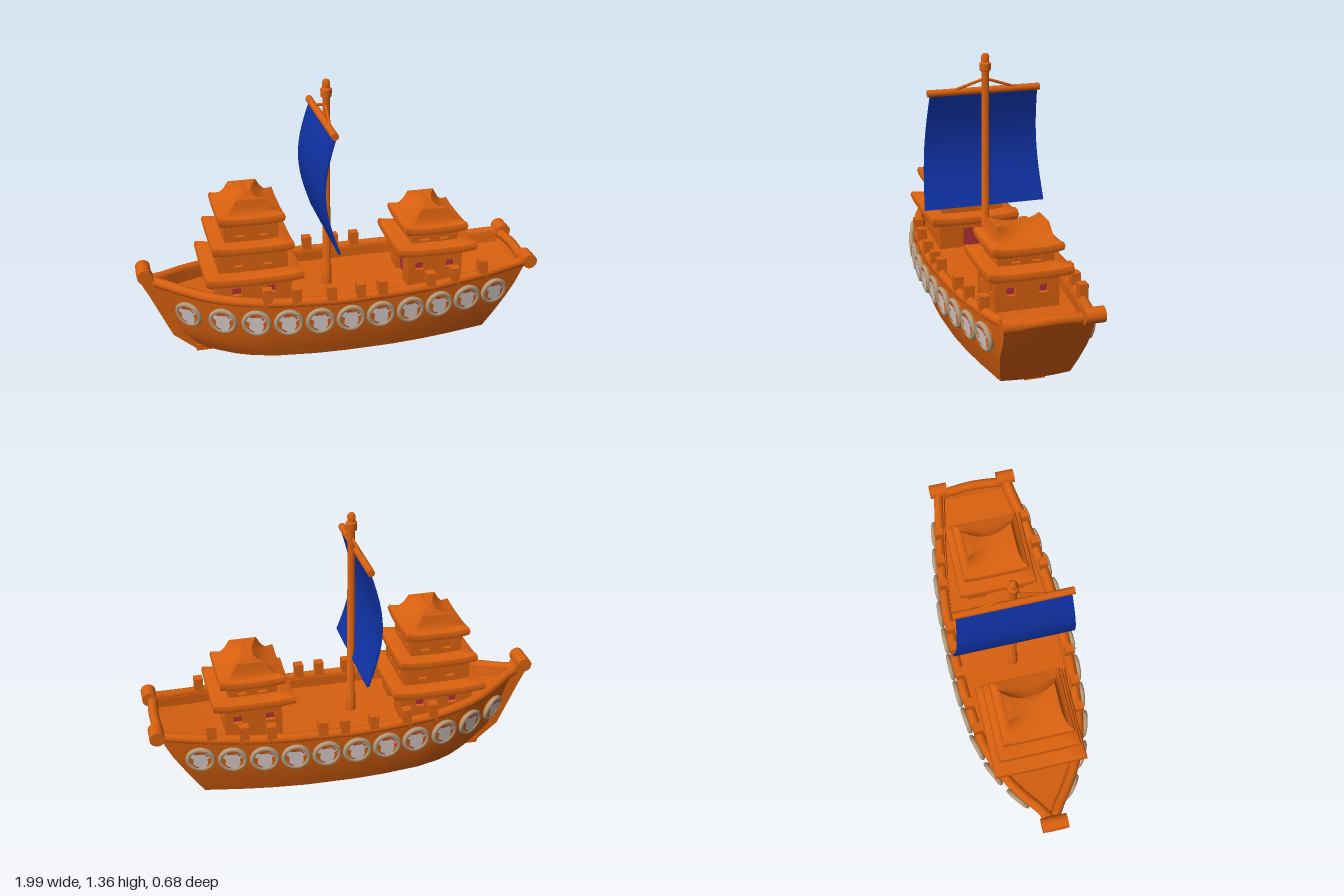
import * as THREE from 'three';
import { toCreasedNormals } from 'three/addons/utils/BufferGeometryUtils.js';

const mat = (name, color, side = THREE.FrontSide) => {
  const m = new THREE.MeshStandardMaterial({ color, side });
  m.name = name;
  return m;
};

// Piecewise linear lookup in [key, value] pairs
const at = (table, k) => {
  if (k <= table[0][0]) return table[0][1];
  for (let i = 1; i < table.length; i++) {
    const [a, va] = table[i - 1], [b, vb] = table[i];
    if (k <= b) return va + (vb - va) * (k - a) / (b - a);
  }
  return table[table.length - 1][1];
};

// Skin through equal-length rings of [x, y, z]
function loft(rings, closed = true, crease = 0.6) {
  const n = rings[0].length, idx = [];
  for (let i = 0; i < rings.length - 1; i++)
    for (let j = 0; j < (closed ? n : n - 1); j++) {
      const a = i * n + j, b = i * n + (j + 1) % n;
      idx.push(a, a + n, b, b, a + n, b + n);
    }
  const g = new THREE.BufferGeometry();
  g.setAttribute('position', new THREE.Float32BufferAttribute(rings.flat(2), 3));
  g.setIndex(idx);
  return toCreasedNormals(g, crease);
}

// Hull rules: bow and stern rake, beam along the length, side profile, sheer
const bowX = [[0, -0.73], [0.1, -0.83], [0.32, -0.925], [0.42, -0.96]];
const sternX = [[0, 0.73], [0.1, 0.79], [0.32, 0.92], [0.4, 0.95]];
const beam = [[0, 0], [0.03, 0.05], [0.085, 0.13], [0.137, 0.195], [0.19, 0.24], [0.27, 0.28], [0.4, 0.306],
  [0.5, 0.312], [0.66, 0.305], [0.77, 0.285], [0.87, 0.257], [1, 0.21]];
const side = [[0.02, 0.8], [0.1, 0.89], [0.2, 0.97], [0.34, 1]];
const sheer = [[0, 0.4], [0.15, 0.36], [0.3, 0.338], [0.5, 0.33], [0.75, 0.34], [0.9, 0.358], [1, 0.38]];
const hullX = (t, y) => THREE.MathUtils.lerp(at(bowX, y), at(sternX, y), t);
const hullPoint = (t, y) => new THREE.Vector3(hullX(t, y), y, at(beam, t) * at(side, y));
const hullT = (x, y) => (x - at(bowX, y)) / (at(sternX, y) - at(bowX, y));

export function createModel() {
  const ship = new THREE.Group();
  ship.name = 'sailingShip';
  const wood = mat('orangeWood', 0xd8600f, THREE.DoubleSide);
  const blue = mat('blueSail', 0x1033a8);
  const tan = mat('tanRim', 0xb89c7a);
  const pale = mat('paleGrey', 0xd6cccb, THREE.DoubleSide);
  const red = mat('redInside', 0xb03038, THREE.DoubleSide);
  const add = (name, geo, m, x = 0, y = 0, z = 0, parent = ship) => {
    const mesh = new THREE.Mesh(geo, m);
    mesh.name = name;
    mesh.position.set(x, y, z);
    parent.add(mesh);
    return mesh;
  };
  const tube = (pts, r, seg = 48) => new THREE.TubeGeometry(
    new THREE.CatmullRomCurve3(pts.map(p => new THREE.Vector3(...p))), seg, r, 10);

  // Hull with inner bulwark and deck
  const rings = [], N = 48;
  for (let i = 0; i <= N; i++) {
    const t = i / N, top = at(sheer, t), deck = top - 0.05;
    const half = [0.02, 0.06, 0.1, 0.15, 0.2, 0.27, top].map(y => hullPoint(t, y).toArray());
    half.unshift([hullX(t, 0.02), 0.02, 0]);
    const inner = Math.max(0, at(beam, t) - 0.05);
    half.push([hullX(t, top), top, inner], [hullX(t, deck), deck, inner], [hullX(t, deck), deck, 0]);
    rings.push([...half.slice(1).reverse().map(([x, y, z]) => [x, y, -z]), ...half]);
  }
  add('hull', loft(rings, false), wood);
  const transom = [0.02, 0.1, 0.2, 0.27, 0.38].map(y => {
    const p = hullPoint(1, y);
    return [-1, -0.5, 0, 0.5, 1].map(k => [p.x + 0.015 * (1 - k * k), y, p.z * k]);
  });
  add('transom', loft(transom, false), wood);
  add('keel', new THREE.BoxGeometry(1.46, 0.03, 0.1), wood, 0, 0.015, 0);

  // Rails, stern horns and battlement posts on both sides
  const posts = [-0.4, -0.26, -0.09, 0.055, 0.165, 0.415, 0.545, 0.7];
  for (const s of [1, -1]) {
    const pts = [];
    for (let i = 0; i <= 24; i++) {
      const t = i / 24, y = at(sheer, t);
      pts.push([hullX(t, y), y, s * Math.max(0, at(beam, t) - 0.02)]);
    }
    add('rail', tube(pts, 0.025, 80), wood);
    add('sternHorn', new THREE.CylinderGeometry(0.037, 0.037, 0.095, 20), wood, 0.957, 0.393, s * 0.187).rotation.x = Math.PI / 2;
    for (const x of posts) {
      const t = hullT(x, 0.34);
      add('railPost', new THREE.BoxGeometry(0.045, 0.09, 0.045), wood, x, at(sheer, t) + 0.035, s * (at(beam, t) - 0.02));
    }
  }
  add('sternRail', tube([[0.94, 0.375, -0.19], [0.95, 0.388, 0], [0.94, 0.375, 0.19]], 0.025), wood);

  // Bow post and its rounded head
  const stem = new THREE.Shape([[-0.72, 0], [-0.84, 0.1], [-0.945, 0.33], [-1, 0.44], [-0.93, 0.44],
    [-0.875, 0.33], [-0.78, 0.1], [-0.69, 0.01]].map(p => new THREE.Vector2(...p)));
  add('bowPost', new THREE.ExtrudeGeometry(stem, { depth: 0.08, bevelEnabled: false }), wood, 0, 0, -0.04);
  add('bowHead', new THREE.CylinderGeometry(0.036, 0.036, 0.13, 20), wood, -0.963, 0.445, 0).rotation.x = Math.PI / 2;

  // Round shields along each side
  const crest = new THREE.Shape([[-0.05, 0.02], [-0.036, 0.045], [-0.012, 0.036], [0.012, 0.036], [0.036, 0.045], [0.05, 0.02],
    [0.033, 0.008], [0.036, -0.02], [0.022, -0.05], [-0.022, -0.05], [-0.036, -0.02], [-0.033, 0.008]]
    .map(p => new THREE.Vector2(...p)));
  const crestGeo = new THREE.ShapeGeometry(crest);
  const discGeo = new THREE.CylinderGeometry(0.06, 0.06, 0.024, 28).rotateX(Math.PI / 2);
  const rimGeo = new THREE.TorusGeometry(0.061, 0.012, 8, 32);
  const fleckGeo = new THREE.RingGeometry(0.043, 0.049, 6, 1, 0.55, 0.5);
  for (const s of [1, -1])
    for (let i = 0; i < 11; i++) {
      const x = -0.757 + i * 0.1514, y = 0.245 + 0.035 * Math.pow(x, 2), t = hullT(x, y);
      const p = hullPoint(t, y);
      const n = hullPoint(t + 0.02, y).sub(hullPoint(t - 0.02, y))
        .cross(hullPoint(t, y + 0.03).sub(hullPoint(t, y - 0.03))).normalize();
      p.addScaledVector(n, 0.014);
      const shield = new THREE.Group();
      shield.name = 'shield';
      shield.position.set(p.x, p.y, s * p.z);
      shield.lookAt(p.x + n.x, p.y + n.y, s * (p.z + n.z));
      ship.add(shield);
      add('shieldDisc', discGeo, wood, 0, 0, 0, shield);
      add('shieldRim', rimGeo, tan, 0, 0, 0.006, shield);
      add('shieldCrest', crestGeo, pale, 0, 0, 0.0145, shield);
      for (const a of [0, 1.1, 3.4]) add('shieldFleck', fleckGeo, red, 0, 0, 0.0165, shield).rotation.z = a;
    }

  // Rectangular ring with optional upturned corners
  const rect = (hw, hd, y, lift = 0, pinch = 0) => Array.from({ length: 40 }, (_, i) => {
    const a = -i / 40 * Math.PI * 2, c = Math.cos(a), d = Math.sin(a), m = Math.max(Math.abs(c), Math.abs(d));
    const u = c / m, v = d / m;
    return [hw * u * (1 - pinch * (1 - v * v)), y + lift * Math.pow(Math.abs(u * v), 4) + pinch * 0.025 * (v * v - 1), hd * v];
  });
  const roof = (hw, hd, y, peak) => {
    const r = [rect(hw * 0.4, hd * 0.4, y + 0.012), rect(hw - 0.02, hd - 0.02, y, 0.006), rect(hw - 0.005, hd - 0.005, y + 0.007, 0.01),
      rect(hw, hd, y + 0.024, 0.012), rect(hw - 0.006, hd - 0.006, y + 0.042, 0.012), rect(hw - 0.025, hd - 0.025, y + 0.05, 0.008)];
    if (peak) {
      for (const [k, h] of [[0.35, 0.15], [0.65, 0.42], [0.85, 0.75], [1, 1]]) {
        const l = THREE.MathUtils.lerp;
        r.push(rect(l(hw - 0.025, 0.068, k), l(hd - 0.025, 0.125, k), l(y + 0.05, peak, h), 0, 0.6 * k * k));
      }
      r.push(rect(0.001, 0.115, peak, 0, 0.6));
    } else r.push(rect(hw * 0.4, hd * 0.4, y + 0.055));
    return loft(r, true, 0.7);
  };

  // Wall panel with cut openings [x, y, halfWidth, halfHeight]
  const wall = (w, h, holes) => {
    const box = (cx, cy, a, b) => [[-a, -b], [a, -b], [a, b], [-a, b]].map(([x, y]) => new THREE.Vector2(cx + x, cy + y));
    const shape = new THREE.Shape(box(0, h / 2, w, h / 2));
    shape.holes = holes.map(o => new THREE.Path(box(...o)));
    return new THREE.ExtrudeGeometry(shape, { depth: 0.02, bevelEnabled: false }).translate(0, 0, -0.02);
  };

  // One castle: tiers of [halfX, halfZ, y0, y1, windowY, windowSpread], roofs of [halfX, halfZ, y, peak]
  const castle = (name, x, doorSide, tiers, roofs) => {
    const g = new THREE.Group();
    g.name = name;
    g.position.x = x;
    ship.add(g);
    tiers.forEach(([hw, hd, y0, y1, wy, sp], i) => {
      const h = y1 - y0;
      add('towerCore', new THREE.BoxGeometry(hw * 2 - 0.045, h, hd * 2 - 0.045), i ? wood : red, 0, y0 + h / 2, 0, g);
      for (let k = 0; k < 4; k++) {
        const along = k % 2 ? hd : hw, out = k % 2 ? hw : hd;
        const holes = [-sp, sp].map(c => [c, wy - y0, 0.022, 0.02]);
        if (!i && k === (doorSide > 0 ? 1 : 3)) holes.splice(0, 2, [0, 0.065, 0.055, 0.055]);
        const a = k * Math.PI / 2;
        add('towerWall', wall(along, h, holes), wood, Math.sin(a) * out, y0, Math.cos(a) * out, g).rotation.y = a;
      }
    });
    roofs.forEach(r => add(r[3] ? 'topRoof' : 'eavesRoof', roof(...r), wood, 0, 0, 0, g));
  };
  castle('bowCastle', -0.448, 1,
    [[0.185, 0.18, 0.27, 0.44, 0.375, 0.085], [0.17, 0.165, 0.45, 0.59, 0.522, 0.072], [0.132, 0.14, 0.6, 0.73, 0.668, 0.056]],
    [[0.24, 0.235, 0.422], [0.2, 0.205, 0.572], [0.163, 0.175, 0.71, 0.832]]);
  castle('sternCastle', 0.478, -1,
    [[0.14, 0.155, 0.27, 0.48, 0.395, 0.08], [0.12, 0.135, 0.49, 0.58, 0.545, 0.05]],
    [[0.205, 0.205, 0.462], [0.162, 0.172, 0.562, 0.69]]);

  // Mast with collar and cap
  const mast = [[0.026, 0.27], [0.026, 0.37], [0.02, 0.38], [0.018, 1.27], [0.027, 1.275], [0.028, 1.31],
    [0.019, 1.32], [0.02, 1.345], [0.012, 1.358], [0, 1.36]].map(p => new THREE.Vector2(...p));
  add('mast', toCreasedNormals(new THREE.LatheGeometry(mast, 16), 0.7), wood, -0.047, 0, 0);

  // Yard and its stays
  add('yard', new THREE.CylinderGeometry(0.018, 0.018, 0.57, 14), wood, -0.07, 1.172, 0).rotation.x = Math.PI / 2;
  for (const s of [1, -1])
    add('stay', tube([[-0.05, 1.235, 0], [-0.065, 1.18, s * 0.16]], 0.007, 4), wood);

  // Billowed sail
  const sail = [];
  for (let i = 0; i <= 20; i++) {
    const v = i / 20, y = 1.165 - 0.58 * v, hz = 0.272 + 0.038 * v, back = [], front = [];
    for (let j = 0; j <= 8; j++) {
      const z = hz * (j / 4 - 1), x = -0.072 + 0.012 * v - 0.062 * Math.sin(Math.PI * v);
      front.push([x, y, z]);
      back.unshift([x + 0.013, y, z]);
    }
    sail.push([...front, ...back]);
  }
  blue.side = THREE.DoubleSide;
  add('sail', loft(sail), blue);
  return ship;
}
